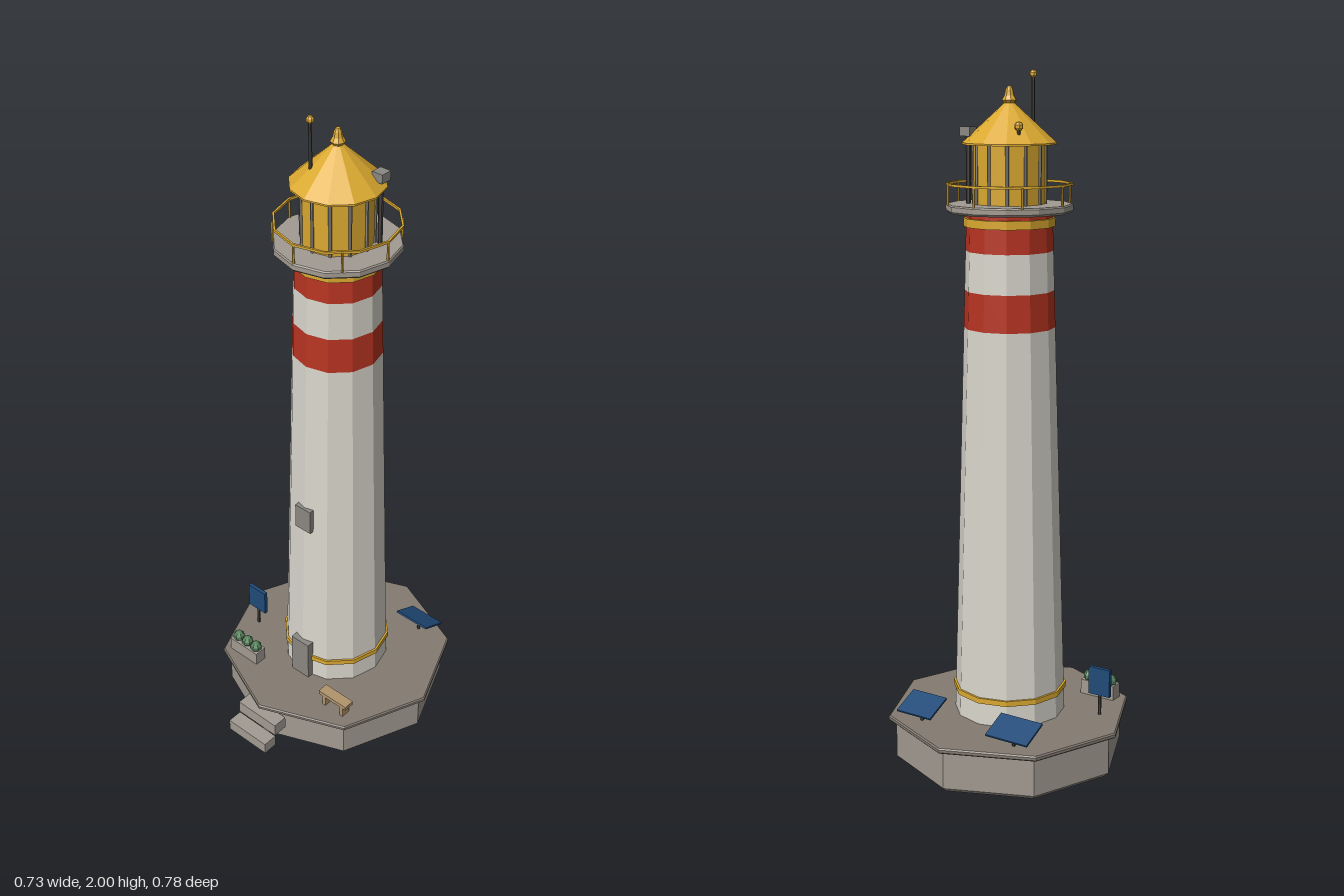
import * as THREE from 'three';

const paint = (name, color) => {
  const m = new THREE.MeshStandardMaterial({ color, flatShading: true });
  m.name = name;
  return m;
};

export function createModel() {
  const white = paint('whitewash', 0xd9d6cc);
  const red = paint('red', 0xb83422);
  const gold = paint('gold', 0xdba930);
  const deckGrey = paint('deck grey', 0x847b72);
  const stone = paint('stone', 0xa29b92);
  const metal = paint('metal grey', 0x8b8882);
  const blue = paint('panel blue', 0x204a78);
  const dark = paint('dark metal', 0x45423f);
  const green = paint('shrub green', 0x55805a);
  const wood = paint('wood', 0xb0946c);

  const model = new THREE.Group();
  model.name = 'lighthouse';
  const tower = new THREE.Group(); // everything sharing the tower axis
  tower.name = 'tower';
  tower.position.z = -0.03;
  model.add(tower);

  const add = (parent, name, geometry, material, x = 0, y = 0, z = 0) => {
    const mesh = new THREE.Mesh(geometry, material);
    mesh.name = name;
    mesh.position.set(x, y, z);
    parent.add(mesh);
    return mesh;
  };
  // Faceted solid of revolution from [radius, height] pairs, bottom to top
  const turned = (name, profile, material, sides = 12) =>
    add(tower, name, new THREE.LatheGeometry(profile.map(([r, y]) => new THREE.Vector2(r, y)), sides), material);
  const box = (name, w, h, d, material, x, y, z, parent = model) =>
    add(parent, name, new THREE.BoxGeometry(w, h, d), material, x, y, z);
  // Vertical rod between two heights
  const rod = (name, r, y0, y1, material, x, z, parent = model) =>
    add(parent, name, new THREE.CylinderGeometry(r, r, y1 - y0, 6), material, x, (y0 + y1) / 2, z);

  // Octagonal foundation and deck slab
  turned('foundation', [[0, 0], [0.33, 0], [0.342, 0.012], [0.342, 0.13]], stone, 8);
  turned('deckSlab', [[0, 0.126], [0.36, 0.126], [0.364, 0.13], [0.364, 0.138], [0.36, 0.142], [0, 0.142]], deckGrey, 8);

  // Entrance steps
  box('upperStep', 0.152, 0.042, 0.047, stone, 0, 0.092, 0.32);
  box('lowerStep', 0.152, 0.038, 0.047, stone, 0, 0.048, 0.366);

  // Tapered shaft in painted sections
  const radius = (y) => 0.163 - (y - 0.14) * 0.0288;
  const levels = [0.14, 1.29, 1.395, 1.506, 1.615];
  for (let i = 0; i < 4; i++) {
    const [a, b] = [levels[i], levels[i + 1]];
    turned(i % 2 ? 'redBand' : 'whiteShaft', [[radius(a), a], [radius(b), b]], i % 2 ? red : white);
  }
  turned('baseRing', [[0.155, 0.208], [0.167, 0.208], [0.167, 0.224], [0.155, 0.224]], gold);
  turned('collar', [[0.115, 1.574], [0.129, 1.574], [0.129, 1.598], [0.115, 1.598]], gold);

  // Door and window on the front
  box('door', 0.068, 0.137, 0.026, metal, 0, 0.21, 0.13);
  box('window', 0.058, 0.08, 0.026, metal, 0, 0.76, 0.109);

  // Gallery with railing
  turned('galleryDeck', [[0, 1.612], [0.172, 1.612], [0.178, 1.618], [0.178, 1.632], [0.175, 1.636], [0, 1.636]], stone);
  turned('handrail', [[0.171, 1.687], [0.177, 1.687], [0.177, 1.694], [0.171, 1.694], [0.171, 1.687]], gold);
  for (let i = 0; i < 8; i++) {
    const a = (i * Math.PI) / 4;
    rod('railPost', 0.0035, 1.634, 1.69, gold, 0.173 * Math.sin(a), 0.173 * Math.cos(a), tower);
  }

  // Lantern room, roof and finial
  turned('lanternRoom', [[0.1, 1.636], [0.1, 1.805]], gold);
  for (let i = 0; i < 12; i++) {
    const a = (i * Math.PI) / 6;
    rod('mullion', 0.005, 1.636, 1.802, metal, 0.1 * Math.sin(a), 0.1 * Math.cos(a), tower);
  }
  turned('roof', [[0, 1.798], [0.131, 1.798], [0.131, 1.803], [0.012, 1.912], [0, 1.912]], gold);
  turned('finial', [[0.012, 1.905], [0.021, 1.918], [0.014, 1.93], [0.011, 1.945], [0.006, 1.955], [0, 1.957]], gold, 8);

  // Antenna, roof vent and sensor mast
  rod('antennaPole', 0.005, 1.83, 1.985, dark, -0.037, 0.034);
  add(model, 'antennaTip', new THREE.SphereGeometry(0.011, 7, 5), gold, -0.037, 1.988, 0.034);
  rod('ventStem', 0.005, 1.815, 1.845, dark, -0.073, -0.094);
  add(model, 'ventCap', new THREE.SphereGeometry(0.013, 7, 5), gold, -0.073, 1.85, -0.094);
  rod('sensorMast', 0.007, 1.634, 1.825, dark, 0.1, -0.085);
  box('sensorBox', 0.034, 0.026, 0.034, metal, 0.1, 1.833, -0.085);

  // Tilted solar panels behind the tower
  for (const [x, w] of [[-0.166, 0.139], [0.156, 0.12]]) {
    rod('panelPost', 0.005, 0.14, 0.188, dark, x, -0.26);
    box('solarPanel', w, 0.006, 0.09, blue, x, 0.19, -0.26).rotation.x = -0.41;
  }

  // Upright panel on a pole
  rod('signPole', 0.005, 0.14, 0.22, dark, -0.257, 0.062);
  box('uprightPanel', 0.07, 0.084, 0.012, blue, -0.257, 0.245, 0.062);

  // Planter with shrubs
  box('planter', 0.113, 0.044, 0.04, stone, -0.184, 0.164, 0.19);
  for (const x of [-0.221, -0.184, -0.147]) {
    add(model, 'shrub', new THREE.SphereGeometry(0.019, 7, 5), green, x, 0.195, 0.19);
  }

  // Bench
  box('benchSeat', 0.108, 0.013, 0.035, wood, 0.183, 0.186, 0.182);
  for (const x of [0.148, 0.218]) box('benchLeg', 0.011, 0.04, 0.03, wood, x, 0.161, 0.182);

  return model;
}
